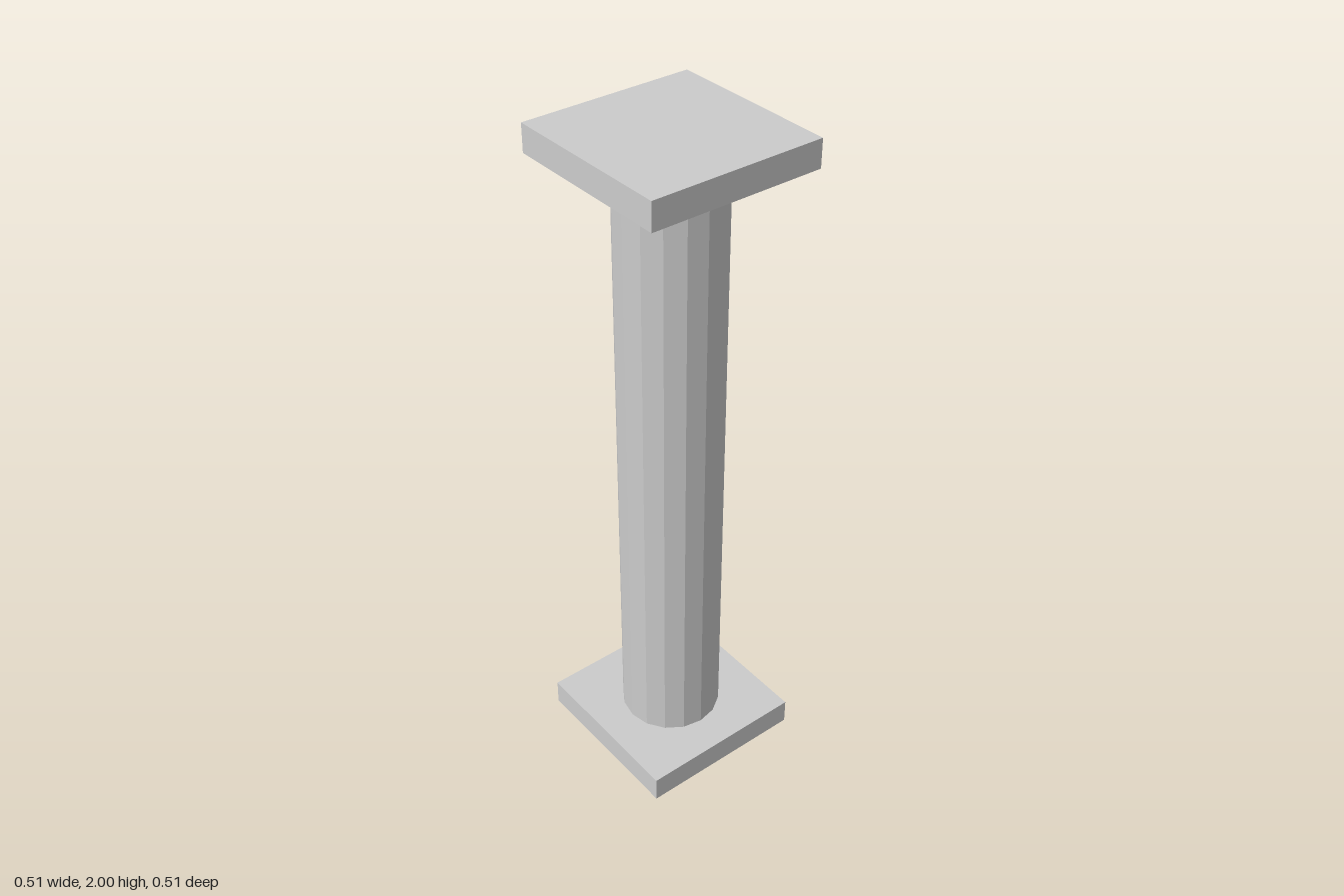
import * as THREE from 'three';

const HEIGHT = 2;
const PLATE_SIZE = 0.514;
const PLATE_THICKNESS = 0.08;
const SHAFT_RADIUS = 0.151;

export function createModel() {
  const group = new THREE.Group();
  group.name = 'column';
  const material = new THREE.MeshStandardMaterial({ color: 0xcccccc, flatShading: true });

  const addPart = (name, geometry, y) => {
    const mesh = new THREE.Mesh(geometry, material);
    mesh.name = name;
    mesh.position.y = y;
    group.add(mesh);
  };

  // Square plates at the foot and the top
  const plate = new THREE.BoxGeometry(PLATE_SIZE, PLATE_THICKNESS, PLATE_SIZE);
  addPart('basePlate', plate, PLATE_THICKNESS / 2);
  addPart('topPlate', plate, HEIGHT - PLATE_THICKNESS / 2);

  // Sixteen-sided shaft between the plates
  const shaftHeight = HEIGHT - 2 * PLATE_THICKNESS;
  addPart('shaft', new THREE.CylinderGeometry(SHAFT_RADIUS, SHAFT_RADIUS, shaftHeight, 16), HEIGHT / 2);

  return group;
}
